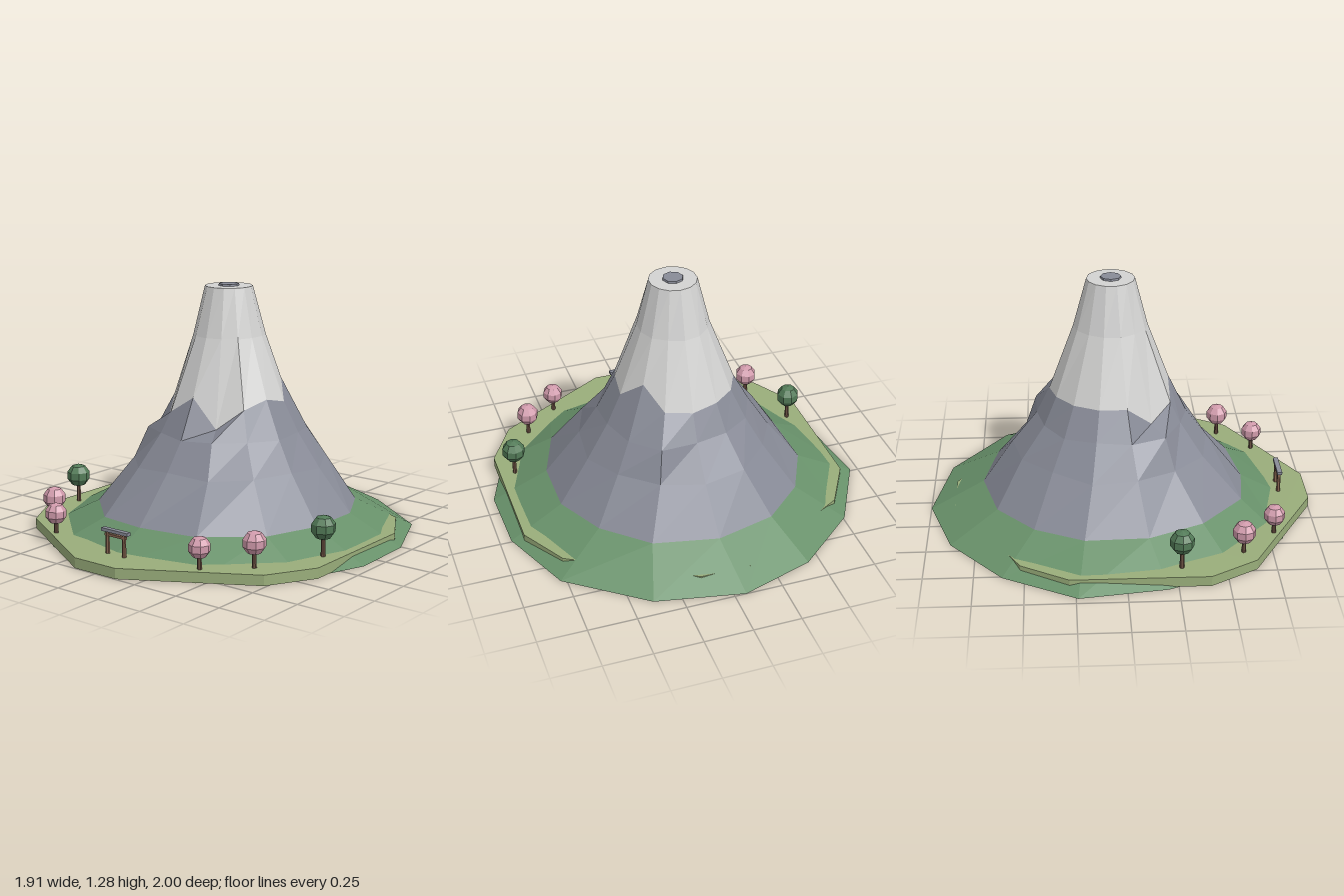
import * as THREE from 'three';

const mat = (name, color, opts = {}) => {
  const m = new THREE.MeshStandardMaterial({ color, flatShading: true, ...opts });
  m.name = name;
  return m;
};

const SIDES = 14;
const CZ = -0.043; // the peak sits slightly behind the centre

// Ring of [x, y, z] points starting at the back and running towards +x
const ring = (radius, height) => Array.from({ length: SIDES }, (_, i) => {
  const a = (i / SIDES) * Math.PI * 2;
  const r = typeof radius === 'function' ? radius(i) : radius;
  const y = typeof height === 'function' ? height(i) : height;
  return [r * Math.sin(a), y, CZ - r * Math.cos(a)];
});

// Faceted skin through a stack of rings, lowest first
function loft(rings) {
  const pos = [];
  for (let k = 0; k + 1 < rings.length; k++) {
    const lo = rings[k], hi = rings[k + 1];
    for (let i = 0; i < SIDES; i++) {
      const j = (i + 1) % SIDES;
      pos.push(...lo[i], ...hi[i], ...lo[j], ...lo[j], ...hi[i], ...hi[j]);
    }
  }
  const g = new THREE.BufferGeometry();
  g.setAttribute('position', new THREE.Float32BufferAttribute(pos, 3));
  g.computeVertexNormals();
  return g;
}

export function createModel() {
  const root = new THREE.Group();
  root.name = 'mountainIsland';

  const snow = mat('snow', 0xd3d3d2);
  const rock = mat('rock', 0x888b97);
  const grass = mat('grass', 0x68916a);
  const meadow = mat('meadow', 0x99ad7a);
  const blossom = mat('blossom', 0xd09aab);
  const leaf = mat('leaf', 0x527a57);
  const wood = mat('wood', 0x84624f);
  const bark = mat('bark', 0x6a5042);

  const add = (parent, name, geo, material, x = 0, y = 0, z = 0) => {
    const m = new THREE.Mesh(geo, material);
    m.name = name;
    m.position.set(x, y, z);
    parent.add(m);
    return m;
  };

  // Meadow plate: twelve-sided slab, mirrored both ways
  const quarter = [[0.13, 0.935], [0.74, 0.585], [0.88, 0.345]];
  const back = [...quarter].reverse().map(([x, z]) => [x, -z]);
  const half = [...quarter, ...back];
  const outline = [...half, ...[...half].reverse().map(([x, z]) => [-x, z])];
  const plateShape = new THREE.Shape(outline.map(([x, z]) => new THREE.Vector2(x, -(z + 0.065))));
  const plate = new THREE.ExtrudeGeometry(plateShape, { depth: 0.053, bevelEnabled: false });
  plate.rotateX(-Math.PI / 2);
  add(root, 'meadowPlate', plate, meadow, 0, 0.002, 0);

  // Foot of the mountain: irregular outlines on the ground and at the grass line
  const at = (pts, y) => pts.map(([x, z]) => [x, y, z]);
  const foot = at([[-0.06, -1], [0.39, -0.91], [0.78, -0.62], [0.94, -0.24], [0.95, 0.12],
    [0.82, 0.46], [0.46, 0.81], [-0.02, 0.92], [-0.45, 0.82], [-0.76, 0.54],
    [-0.9, 0.2], [-0.96, -0.24], [-0.76, -0.61], [-0.44, -0.88]], 0);
  const grassLine = at([[-0.02, -0.72], [0.31, -0.65], [0.53, -0.45], [0.66, -0.2], [0.66, 0.1],
    [0.56, 0.38], [0.3, 0.6], [-0.02, 0.65], [-0.28, 0.62], [-0.52, 0.4],
    [-0.65, 0.12], [-0.66, -0.2], [-0.54, -0.45], [-0.33, -0.64]], 0.14);
  add(root, 'grassSlope', loft([ring(0, 0), foot, grassLine]), grass);

  // Rock slope up to the jagged snow line, with a few ledges
  const wobble = (i, k) => 0.012 * Math.sin(i * 2.4 + k * 1.7);
  const ledge = { 1: 0.035, 2: 0.02, 6: 0.01, 9: 0.02, 10: 0.015 };
  const snowY = [0.67, 0.68, 0.79, 0.69, 0.72, 0.68, 0.58, 0.73, 0.64, 0.57, 0.68, 0.68, 0.68, 0.68];
  const notch = { 6: 0.045, 9: 0.045 };
  const middle = ring((i) => 0.505 + wobble(i, 1), (i) => 0.37 + wobble(i, 2));
  const shoulder = ring((i) => 0.393 + wobble(i, 3) * 0.6 + (ledge[i] || 0), (i) => 0.53 + wobble(i, 4) * 0.5);
  const snowLine = ring((i) => 0.315 - (snowY[i] - 0.68) * 0.4 - (notch[i] || 0), (i) => snowY[i]);
  add(root, 'rockSlope', loft([grassLine, middle, shoulder, snowLine]), rock);

  // Snow cap with a flat summit
  const neck = ring((i) => 0.187 + wobble(i, 5) * 0.4, 1.02);
  add(root, 'snowCap', loft([snowLine, neck, ring(0.123, 1.27), ring(0, 1.27)]), snow);
  add(root, 'craterPlug', new THREE.CylinderGeometry(0.052, 0.056, 0.02, 8), rock, 0, 1.27, CZ);

  // Trees: [x, z, crown height, crown radius, crown material]
  const trees = [
    [-0.79, 0.27, 0.2, 0.063, leaf], [0.8, 0.25, 0.2, 0.063, leaf],
    [-0.66, 0.59, 0.168, 0.06, blossom], [0.64, 0.59, 0.178, 0.06, blossom],
    [-0.48, 0.765, 0.157, 0.056, blossom], [0.45, 0.765, 0.162, 0.056, blossom],
  ];
  for (const [x, z, y, r, crown] of trees) {
    const tree = new THREE.Group();
    tree.name = crown === leaf ? 'greenTree' : 'blossomTree';
    tree.position.set(x, 0, z);
    add(tree, 'trunk', new THREE.CylinderGeometry(0.009, 0.012, y - 0.045, 6), bark, 0, (y + 0.045) / 2, 0);
    add(tree, 'crown', new THREE.SphereGeometry(r, 8, 5), crown, 0, y, 0);
    root.add(tree);
  }

  // Gate: two posts, a tie beam and a broad lintel
  const gate = new THREE.Group();
  gate.name = 'gate';
  gate.position.set(0.002, 0, 0.85);
  for (const s of [-1, 1]) {
    add(gate, 'post', new THREE.CylinderGeometry(0.009, 0.011, 0.115, 6), wood, s * 0.053, 0.11, 0);
  }
  add(gate, 'tieBeam', new THREE.BoxGeometry(0.132, 0.012, 0.016), wood, 0, 0.151, 0);
  add(gate, 'lintel', new THREE.BoxGeometry(0.166, 0.016, 0.026), rock, 0, 0.174, 0);
  root.add(gate);

  return root;
}
